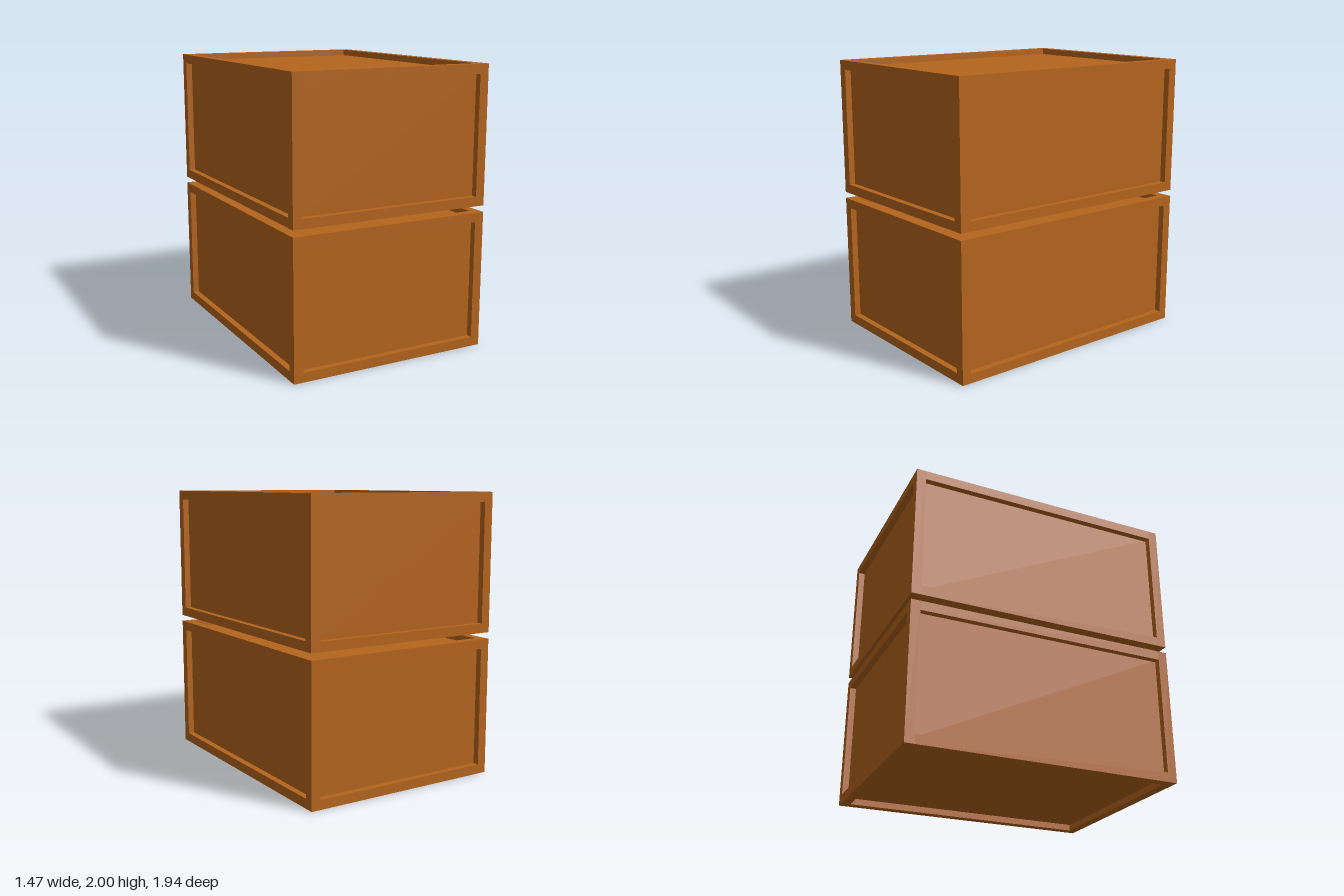
import * as THREE from 'three';

const WIDTH = 1.47, HEIGHT = 0.977, DEPTH = 1.94; // outer size of one crate
const BAR = 0.067;    // width of the frame bars
const RECESS = 0.045; // how far the panels sit behind the frame

const wood = new THREE.MeshStandardMaterial({ color: 0xb5651d });
wood.name = 'light brown wood';

function addBox(parent, name, size, position) {
  const mesh = new THREE.Mesh(new THREE.BoxGeometry(...size), wood);
  mesh.name = name;
  mesh.position.set(...position);
  parent.add(mesh);
}

function createCrate(name) {
  const crate = new THREE.Group();
  crate.name = name;

  // Body whose six faces are the recessed panels
  addBox(crate, 'panelBody',
    [WIDTH - 2 * RECESS, HEIGHT - 2 * RECESS, DEPTH - 2 * RECESS], [0, 0, 0]);

  // Frame: four bars along each axis, the rails fitted between the posts
  const x = (WIDTH - BAR) / 2, y = (HEIGHT - BAR) / 2, z = (DEPTH - BAR) / 2;
  for (const a of [-1, 1]) {
    for (const b of [-1, 1]) {
      addBox(crate, 'cornerPost', [BAR, HEIGHT, BAR], [a * x, 0, b * z]);
      addBox(crate, 'crossRail', [WIDTH - 2 * BAR, BAR, BAR], [0, a * y, b * z]);
      addBox(crate, 'sideRail', [BAR, BAR, DEPTH - 2 * BAR], [a * x, b * y, 0]);
    }
  }
  return crate;
}

export function createModel() {
  const model = new THREE.Group();
  model.name = 'stackedCrates';

  // Two equal crates with a narrow gap between them
  const lower = createCrate('lowerCrate');
  lower.position.y = HEIGHT / 2;
  const upper = createCrate('upperCrate');
  upper.position.y = 2 - HEIGHT / 2;
  model.add(lower, upper);
  return model;
}
